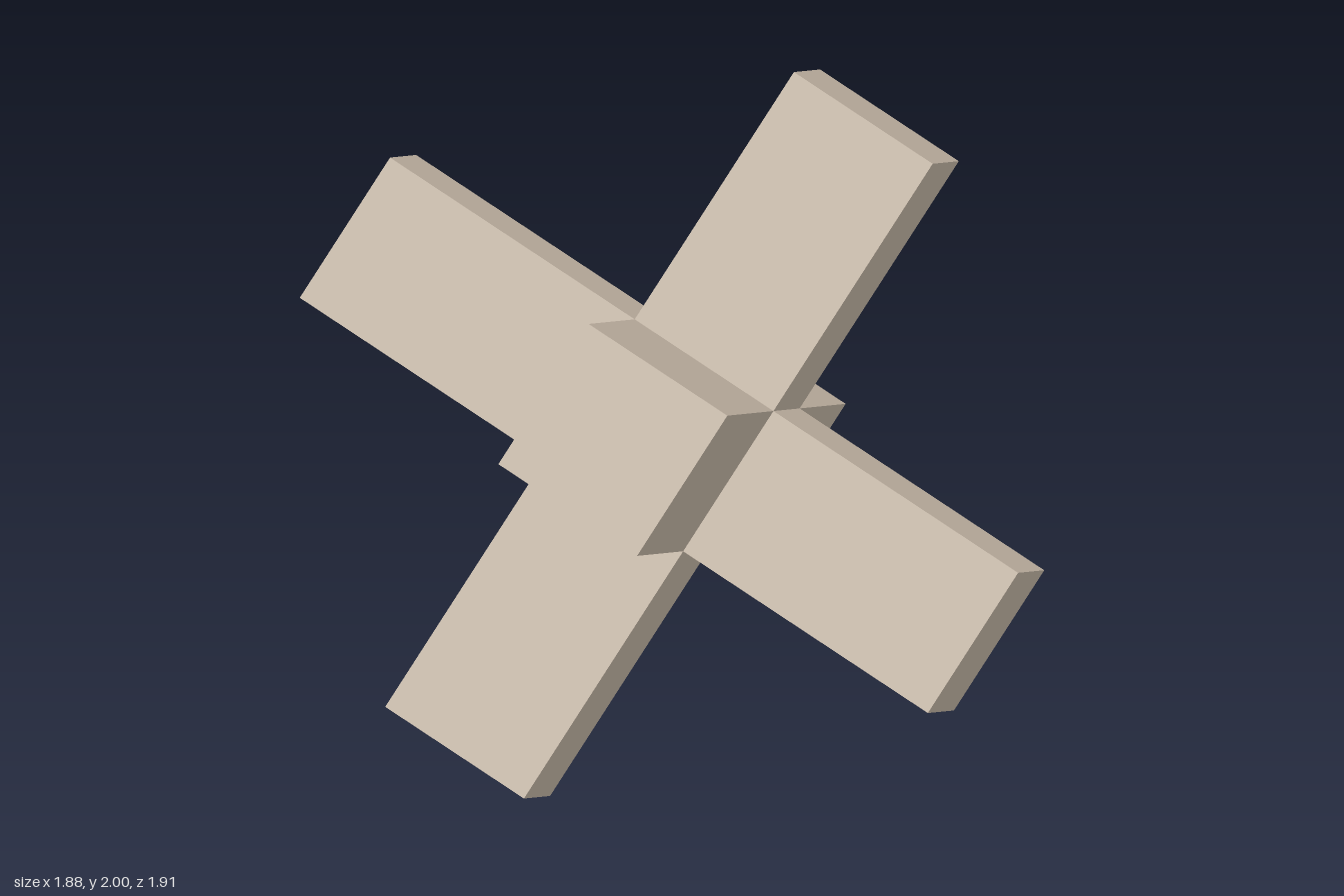
import * as THREE from 'three';

// Three equal square beams crossing at right angles, tilted as one body
export function createModel() {
  const LENGTH = 2.01, WIDTH = 0.444;
  const beige = new THREE.MeshStandardMaterial({ color: 0xd4c5b3 });
  beige.name = 'beige';

  // Orthonormal directions of the beams
  const up = new THREE.Vector3(0.545, 0.82, 0.195).normalize();
  const side = new THREE.Vector3(-0.725, 0.345, 0.61);
  side.addScaledVector(up, -side.dot(up)).normalize();
  const forward = new THREE.Vector3().crossVectors(side, up).negate();

  const cross = new THREE.Group();
  cross.name = 'tiltedCross';
  const beam = (name, x, y, z) => {
    const mesh = new THREE.Mesh(new THREE.BoxGeometry(x, y, z), beige);
    mesh.name = name;
    cross.add(mesh);
  };
  beam('uprightBeam', LENGTH, WIDTH, WIDTH);
  beam('sideBeam', WIDTH, LENGTH, WIDTH);
  beam('forwardBeam', WIDTH, WIDTH, LENGTH);

  cross.quaternion.setFromRotationMatrix(new THREE.Matrix4().makeBasis(up, side, forward));
  cross.position.y = 1;

  const model = new THREE.Group();
  model.name = 'sixArmedCross';
  model.add(cross);
  return model;
}
